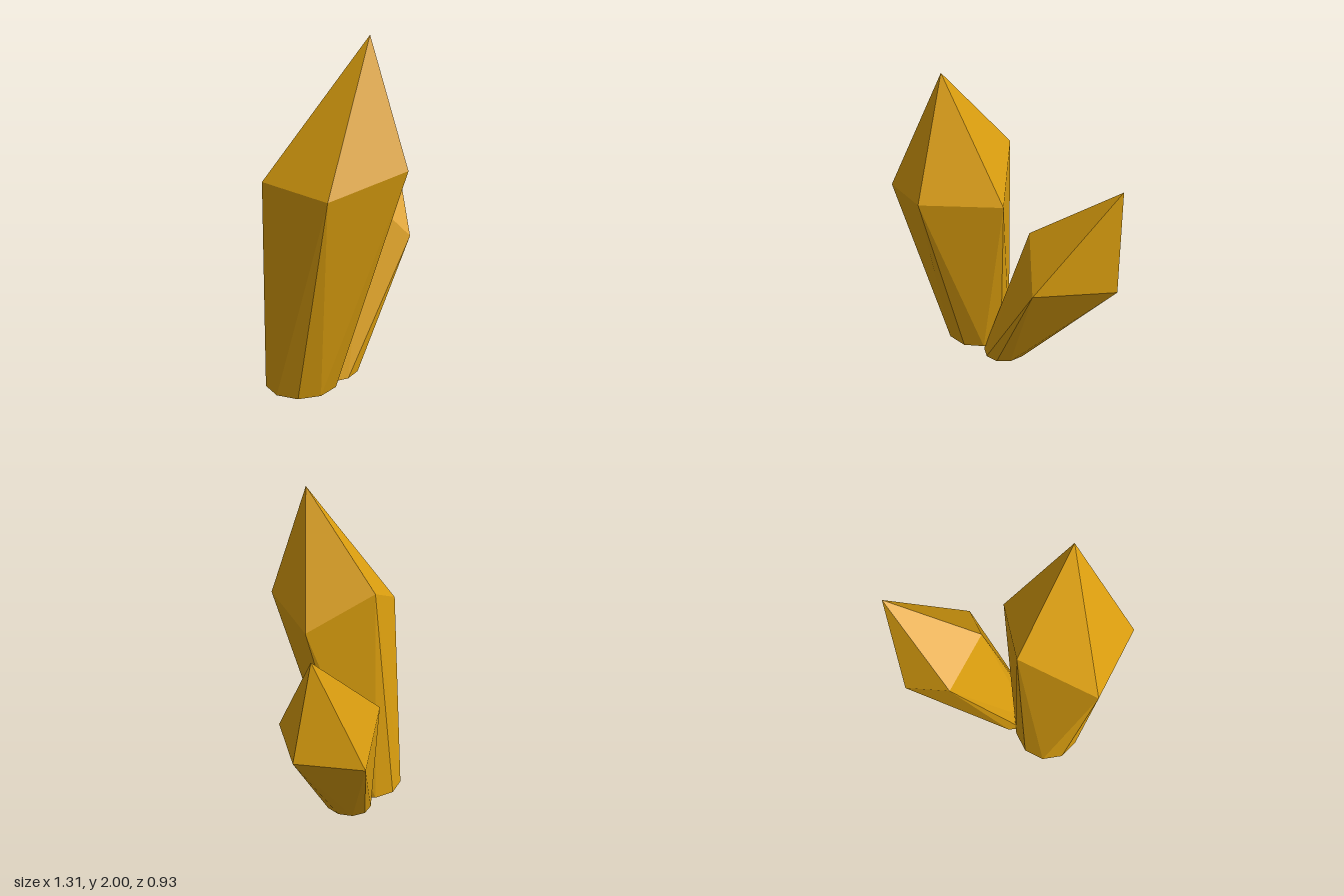
import * as THREE from 'three';

// Crystal: ten-sided base, five shoulder corners, one tip.
// Each shoulder corner takes two base edges as a fan, with a triangle between fans.
function crystalGeometry({ center, radius, slope, shoulder, tip }) {
  const base = [];
  for (let i = 0; i < 10; i++) {
    const a = THREE.MathUtils.degToRad(-90 + 36 * i);
    const dx = radius * Math.sin(a);
    base.push([center[0] + dx, center[1] + slope * dx, center[2] + radius * Math.cos(a)]);
  }
  const positions = [];
  const tri = (a, b, c) => positions.push(...a, ...b, ...c);

  shoulder.forEach((corner, k) => {
    const next = shoulder[(k + 1) % 5];
    const b0 = base[2 * k], b1 = base[2 * k + 1], b2 = base[(2 * k + 2) % 10];
    tri(b0, b1, corner); // shaft
    tri(b1, b2, corner);
    tri(corner, b2, next);
    tri(corner, next, tip); // point
  });
  base.forEach((b, i) => tri(center, base[(i + 1) % 10], b)); // underside

  const geometry = new THREE.BufferGeometry();
  geometry.setAttribute('position', new THREE.Float32BufferAttribute(positions, 3));
  geometry.computeVertexNormals();
  return geometry;
}

export function createModel() {
  const group = new THREE.Group();
  group.name = 'crystalCluster';
  const amber = new THREE.MeshStandardMaterial({ color: 0xdc9f0f, flatShading: true });
  amber.name = 'amber';

  // Corners run counter-clockwise from the front right, seen from above
  const crystals = {
    tallCrystal: {
      center: [-0.405, 0.04, -0.135], radius: 0.21, slope: 0,
      shoulder: [
        [-0.655, 1.23, 0.29], [-0.23, 1.335, 0.465], [0.04, 1.26, 0.09],
        [-0.195, 1.472, -0.225], [-0.645, 1.265, -0.16],
      ],
      tip: [-0.25, 2, 0.235],
    },
    shortCrystal: {
      center: [-0.132, 0.017, -0.115], radius: 0.145, slope: 0.115,
      shoulder: [
        [0.105, 1.055, -0.055], [0.29, 0.795, 0.128], [0.652, 0.85, -0.165],
        [0.41, 0.75, -0.465], [0.125, 0.97, -0.412],
      ],
      tip: [0.588, 1.428, -0.24],
    },
  };
  for (const [name, spec] of Object.entries(crystals)) {
    const mesh = new THREE.Mesh(crystalGeometry(spec), amber);
    mesh.name = name;
    group.add(mesh);
  }
  return group;
}
